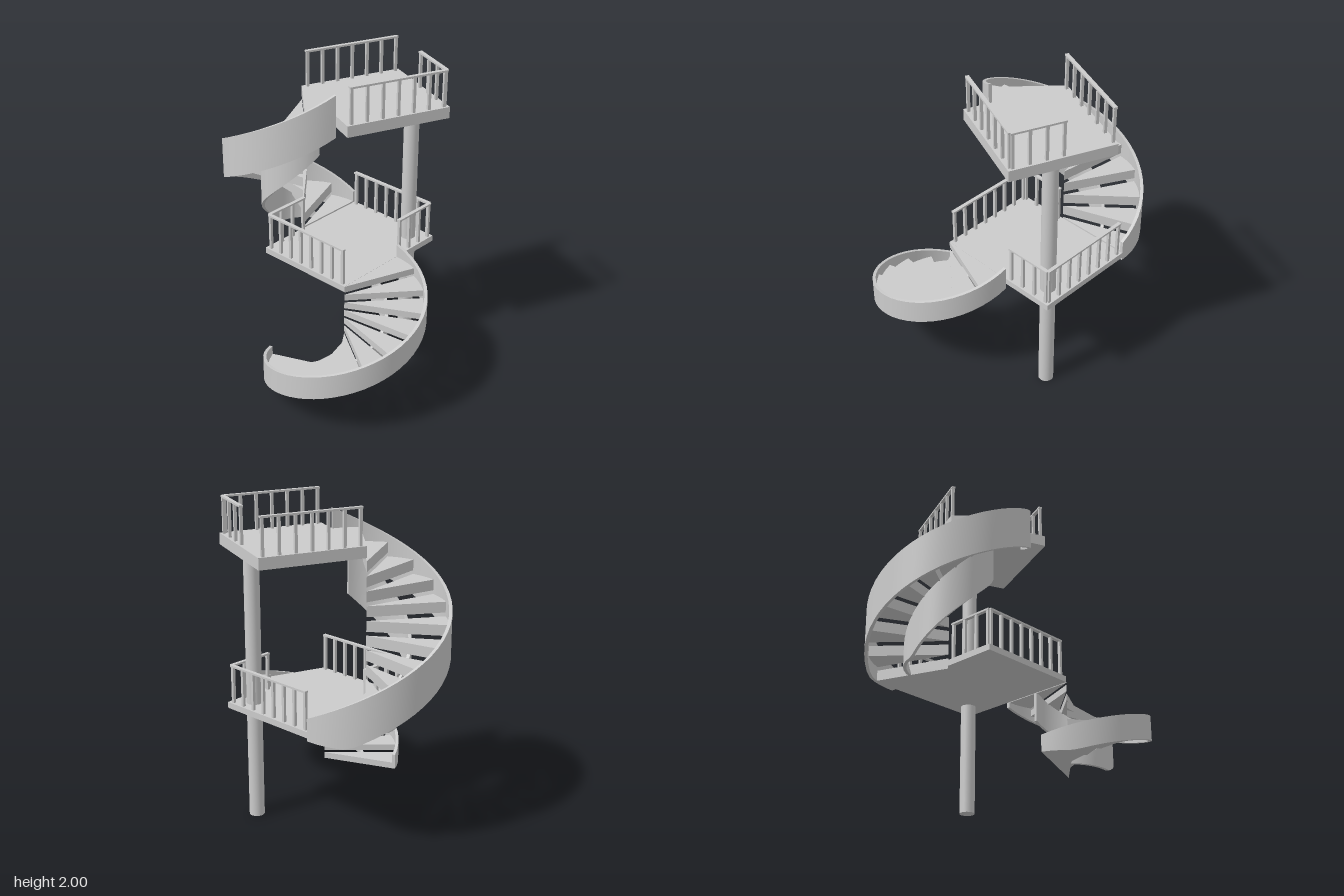
import * as THREE from 'three';
import { toCreasedNormals } from 'three/addons/utils/BufferGeometryUtils.js';

const grey = new THREE.MeshStandardMaterial({ color: 0xcccccc });
const rad = THREE.MathUtils.degToRad;
const STEPS = 12;
const RADIUS = 0.505;

function add(parent, name, geometry, x = 0, y = 0, z = 0) {
  const mesh = new THREE.Mesh(geometry, grey);
  mesh.name = name;
  mesh.position.set(x, y, z);
  parent.add(mesh);
  return mesh;
}

// Helical band with a rectangular section; bottom and top are functions of progress t (0..1)
function helicalBand(rIn, rOut, a0, a1, bottom, top, t0 = 0, segments = 36) {
  const pos = [], index = [];
  for (let i = 0; i <= segments; i++) {
    const t = t0 + (1 - t0) * i / segments;
    const a = a0 + (a1 - a0) * t;
    const c = Math.cos(a), s = Math.sin(a), b = bottom(t), h = top(t);
    for (const [r, y] of [[rIn, b], [rOut, b], [rOut, h], [rIn, h]]) pos.push(r * c, y, r * s);
    if (i === segments) break;
    for (let k = 0; k < 4; k++) {
      const p = i * 4 + k, q = i * 4 + (k + 1) % 4;
      index.push(p, p + 4, q + 4, p, q + 4, q);
    }
  }
  const e = segments * 4;
  index.push(0, 1, 2, 0, 2, 3, e, e + 2, e + 1, e, e + 3, e + 2);
  const g = new THREE.BufferGeometry();
  g.setAttribute('position', new THREE.Float32BufferAttribute(pos, 3));
  g.setIndex(index);
  return toCreasedNormals(g, rad(35));
}

// Spiral flight: wedge treads, a tall outer stringer and a hidden inner stringer
function flight(name, o) {
  const group = new THREE.Group();
  group.name = name;
  group.position.set(o.x, 0, o.z);
  const a0 = rad(o.from), a1 = rad(o.to), da = (a1 - a0) / STEPS;

  for (let i = 0; i < STEPS; i++) {
    const shape = new THREE.Shape();
    shape.moveTo(0, 0);
    for (let k = 0; k <= 2; k++) {
      const a = -(a0 + da * (i + k / 2));
      shape.lineTo((RADIUS - 0.01) * Math.cos(a), (RADIUS - 0.01) * Math.sin(a));
    }
    const g = new THREE.ExtrudeGeometry(shape, { depth: o.thick, bevelEnabled: false });
    g.rotateX(-Math.PI / 2);
    add(group, 'tread', g, 0, o.base + i * o.rise, 0);
  }

  const line = t => o.railStart + o.climb * t;
  add(group, 'outerStringer', helicalBand(RADIUS - 0.02, RADIUS, a0, a1,
    t => Math.max(o.base, line(t) - o.railHeight), line));
  add(group, 'innerStringer', helicalBand(0.25, 0.27, a0, a1,
    t => Math.max(o.base, o.innerEnd - o.climb * (1 - t)),
    t => o.base + 0.01 + (STEPS * t - 1) * o.rise, 1 / STEPS));
  return group;
}

// Straight railing between two points [x, z] in deck coordinates
function railing(parent, [x0, z0], [x1, z1], y0, y1, posts) {
  const group = new THREE.Group();
  group.name = 'railing';
  const dx = x1 - x0, dz = z1 - z0, len = Math.hypot(dx, dz);
  group.position.set(x0, 0, z0);
  group.rotation.y = Math.atan2(-dz, dx);
  add(group, 'handrail', new THREE.BoxGeometry(len, 0.012, 0.024), len / 2, y1 - 0.006, 0);
  const h = y1 - y0 - 0.01;
  for (let i = 0; i < posts; i++) {
    const x = 0.012 + (len - 0.024) * i / (posts - 1);
    add(group, 'post', new THREE.BoxGeometry(0.018, h, 0.018), x, y0 + h / 2, 0);
  }
  parent.add(group);
}

// Rectangular landing turned about one corner that sits on a flight's axis
function landing(name, o) {
  const group = new THREE.Group();
  group.name = name;
  group.position.set(o.x, 0, o.z);
  group.rotation.y = rad(o.turn);
  add(group, 'slab', new THREE.BoxGeometry(o.x1 - o.x0, o.thick, o.depth),
    (o.x0 + o.x1) / 2, o.top - o.thick / 2, -o.depth / 2);
  for (const [a, b, n] of o.rails) railing(group, a, b, o.top, o.railTop, n);
  return group;
}

export function createModel() {
  const model = new THREE.Group();
  model.name = 'spiralStaircase';

  // Support column
  add(model, 'column', new THREE.CylinderGeometry(0.048, 0.048, 1.7, 32), 0.15, 0.85, -0.52);

  model.add(flight('lowerFlight', {
    x: 0.36, z: 0.2, from: 150, to: -97, base: 0.098, thick: 0.042, rise: 0.056,
    railStart: 0.199, climb: 0.641, railHeight: 0.158, innerEnd: 0.53,
  }));
  model.add(flight('upperFlight', {
    x: -0.36, z: -0.06, from: 263, to: 15.3, base: 0.7, thick: 0.067, rise: 1 / 11,
    railStart: 0.84, climb: 1.056, railHeight: 0.27, innerEnd: 1.41,
  }));

  const e = 0.02; // railing inset from slab edges
  model.add(landing('lowerLanding', {
    x: 0.36, z: 0.2, turn: 7, x0: -0.683, x1: 0, depth: 0.85, top: 0.757, thick: 0.039, railTop: 1,
    rails: [
      [[-0.683 + e, -e], [-e, -e], 8],
      [[-0.683 + e, -0.85 + e], [-e, -0.85 + e], 8],
      [[-e, -0.85 + e], [-e, -0.52], 4],
      [[-0.683 + e, -e], [-0.683 + e, -0.335], 4],
    ],
  }));
  model.add(landing('upperLanding', {
    x: -0.36, z: -0.06, turn: -15.3, x0: 0, x1: 0.665, depth: 0.67, top: 1.767, thick: 0.072, railTop: 2,
    rails: [
      [[e, -e], [e, -0.67 + e], 7],
      [[0.665 - e, -e], [0.665 - e, -0.67 + e], 7],
      [[0.315, -0.67 + e], [0.665 - e, -0.67 + e], 4],
    ],
  }));
  return model;
}
